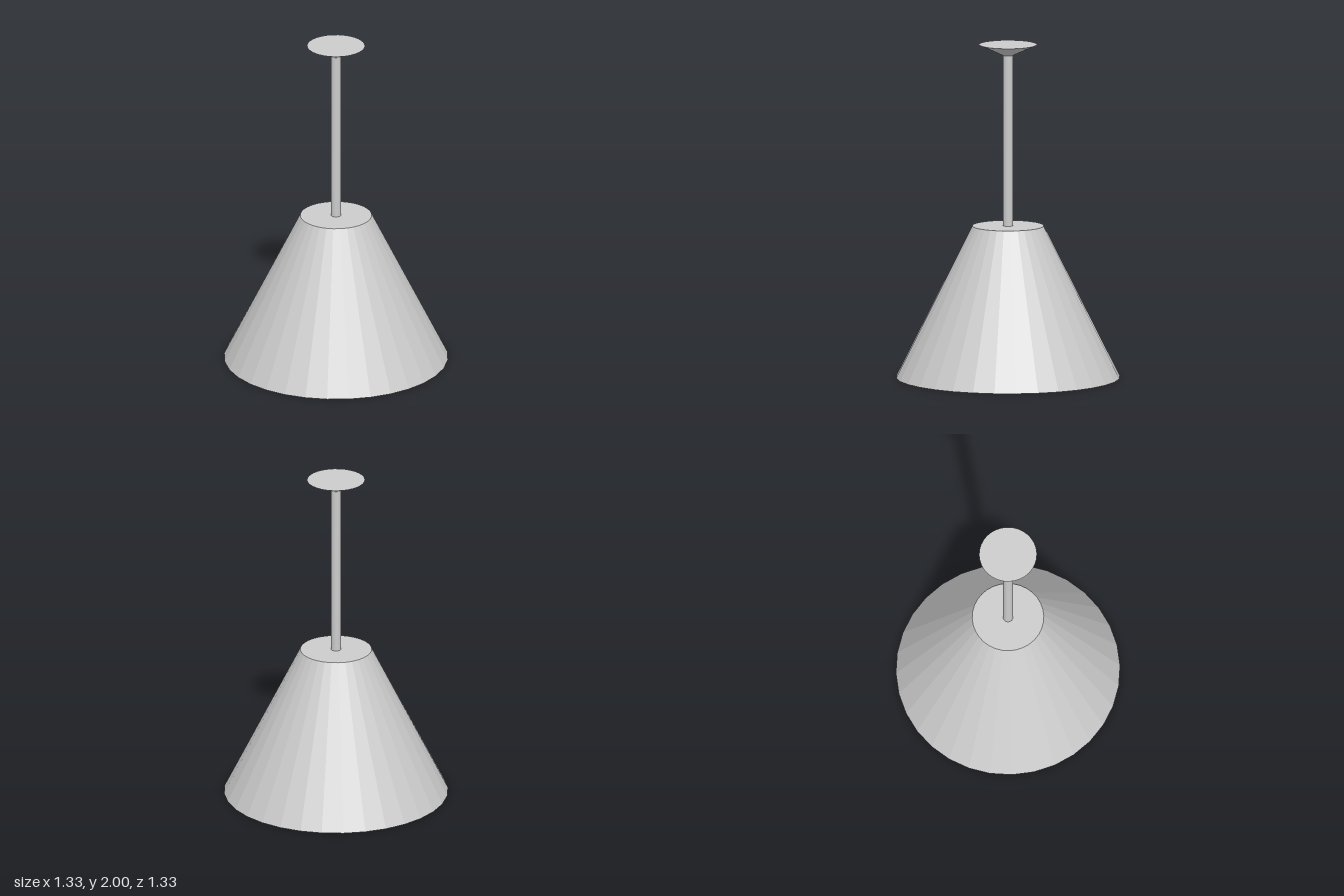
import * as THREE from 'three';

const SIDES = 32;

export function createModel() {
  const group = new THREE.Group();
  group.name = 'pendantLamp';
  const material = new THREE.MeshStandardMaterial({ color: 0xcccccc, flatShading: true });

  // Revolve a [radius, height] profile around the vertical axis
  const addTurned = (name, profile) => {
    const points = profile.map(([r, y]) => new THREE.Vector2(r, y));
    const mesh = new THREE.Mesh(new THREE.LatheGeometry(points, SIDES), material);
    mesh.name = name;
    group.add(mesh);
  };

  // Hollow conical shade: inner ceiling, inner wall, rim, outer wall, top
  addTurned('shade', [[0, 0.86], [0.181, 0.86], [0.61, 0], [0.667, 0], [0.213, 0.91], [0, 0.91]]);

  // Straight hanging rod
  addTurned('rod', [[0, 0.9], [0.03, 0.9], [0.03, 1.94], [0, 1.94]]);

  // Flared ceiling canopy
  addTurned('canopy', [[0, 1.935], [0.03, 1.935], [0.172, 2], [0, 2]]);

  return group;
}
